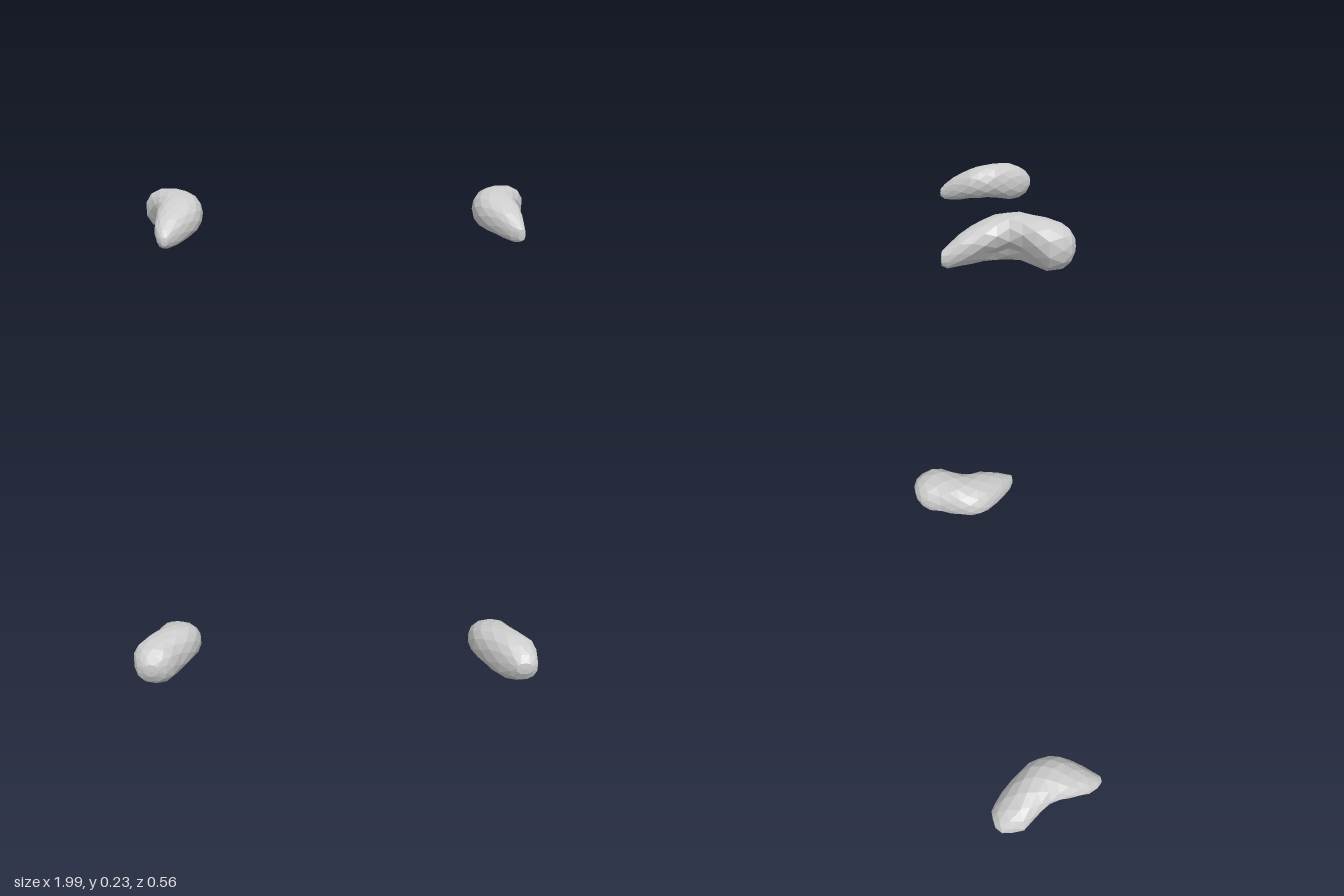
import * as THREE from 'three';

const SIDES = 12;

// Cross-sections from back to front: z, inner |x|, outer |x|, bottom y, top y, hollow depth
const leftSections = [
  [-0.265, 0.86, 0.93, 0.075, 0.14, 0],
  [-0.245, 0.82, 0.965, 0.035, 0.175, 0],
  [-0.21, 0.79, 0.985, 0.008, 0.2, 0],
  [-0.15, 0.762, 1.0, 0.003, 0.218, 0],
  [-0.1, 0.73, 0.98, 0.015, 0.226, 0.12],
  [-0.05, 0.705, 0.945, 0.028, 0.231, 0.32],
  [0.0, 0.69, 0.918, 0.027, 0.227, 0.36],
  [0.05, 0.69, 0.915, 0.025, 0.217, 0.33],
  [0.1, 0.705, 0.92, 0.024, 0.2, 0.25],
  [0.15, 0.738, 0.917, 0.02, 0.176, 0.14],
  [0.2, 0.778, 0.91, 0.014, 0.148, 0.06],
  [0.25, 0.825, 0.903, 0.011, 0.105, 0],
  [0.274, 0.86, 0.897, 0.025, 0.084, 0],
];
const rightSections = [
  [-0.279, 0.875, 0.955, 0.08, 0.14, 0],
  [-0.255, 0.845, 0.985, 0.038, 0.175, 0],
  [-0.21, 0.8, 0.995, 0.01, 0.204, 0],
  [-0.15, 0.757, 1.0, 0.004, 0.227, 0],
  [-0.1, 0.727, 0.97, 0.013, 0.232, 0.12],
  [-0.05, 0.7, 0.943, 0.026, 0.232, 0.3],
  [0.0, 0.69, 0.922, 0.026, 0.227, 0.36],
  [0.05, 0.69, 0.913, 0.025, 0.217, 0.33],
  [0.1, 0.7, 0.914, 0.022, 0.2, 0.25],
  [0.15, 0.73, 0.911, 0.016, 0.174, 0.14],
  [0.2, 0.765, 0.907, 0.01, 0.146, 0.06],
  [0.25, 0.81, 0.888, 0.012, 0.105, 0],
  [0.276, 0.832, 0.866, 0.03, 0.075, 0],
];

const softPower = (v) => Math.sign(v) * Math.abs(v) ** 0.88;

// Closed skin over the sections; side is +1 or -1 and mirrors x
function beanGeometry(sections, side) {
  const points = [];
  const index = [];
  const tri = (a, b, c) => (side > 0 ? index.push(a, b, c) : index.push(a, c, b));

  sections.forEach(([z, inner, outer, bottom, top, hollow], ring) => {
    for (let i = 0; i < SIDES; i++) {
      // alternate rings are turned half a step for a faceted, triangular skin
      const a = ((i + (ring % 2) * 0.5) / SIDES) * Math.PI * 2;
      // the outer lower flank is pushed in to form the hollow
      const off = Math.atan2(Math.sin(a + 0.65), Math.cos(a + 0.65));
      const k = 1 - hollow * Math.exp(-((off / 0.55) ** 2));
      const x = (inner + outer) / 2 + softPower(Math.cos(a)) * k * (outer - inner) / 2;
      const y = (bottom + top) / 2 + softPower(Math.sin(a)) * k * (top - bottom) / 2;
      points.push(side * x, y, z);
    }
  });

  // Skin between neighbouring rings
  for (let r = 0; r < sections.length - 1; r++) {
    for (let i = 0; i < SIDES; i++) {
      const j = (i + 1) % SIDES;
      const a = r * SIDES + i, b = r * SIDES + j;
      const c = a + SIDES, d = b + SIDES;
      if (r % 2 === 0) { tri(a, b, c); tri(b, d, c); }
      else { tri(a, b, d); tri(a, d, c); }
    }
  }

  // End caps
  [0, sections.length - 1].forEach((r) => {
    const [z, inner, outer, bottom, top] = sections[r];
    const centre = points.length / 3;
    points.push(side * (inner + outer) / 2, (bottom + top) / 2, z + (r ? 0.003 : -0.003));
    for (let i = 0; i < SIDES; i++) {
      const a = r * SIDES + i, b = r * SIDES + ((i + 1) % SIDES);
      if (r) tri(centre, a, b);
      else tri(centre, b, a);
    }
  });

  const geometry = new THREE.BufferGeometry();
  geometry.setAttribute('position', new THREE.Float32BufferAttribute(points, 3));
  geometry.setIndex(index);
  geometry.computeVertexNormals();
  return geometry;
}

export function createModel() {
  const group = new THREE.Group();
  group.name = 'kidneys';
  const material = new THREE.MeshStandardMaterial({ color: 0xcccccc, flatShading: true });

  const left = new THREE.Mesh(beanGeometry(leftSections, 1), material);
  left.name = 'leftKidney';
  const right = new THREE.Mesh(beanGeometry(rightSections, -1), material);
  right.name = 'rightKidney';

  group.add(left, right);
  return group;
}
